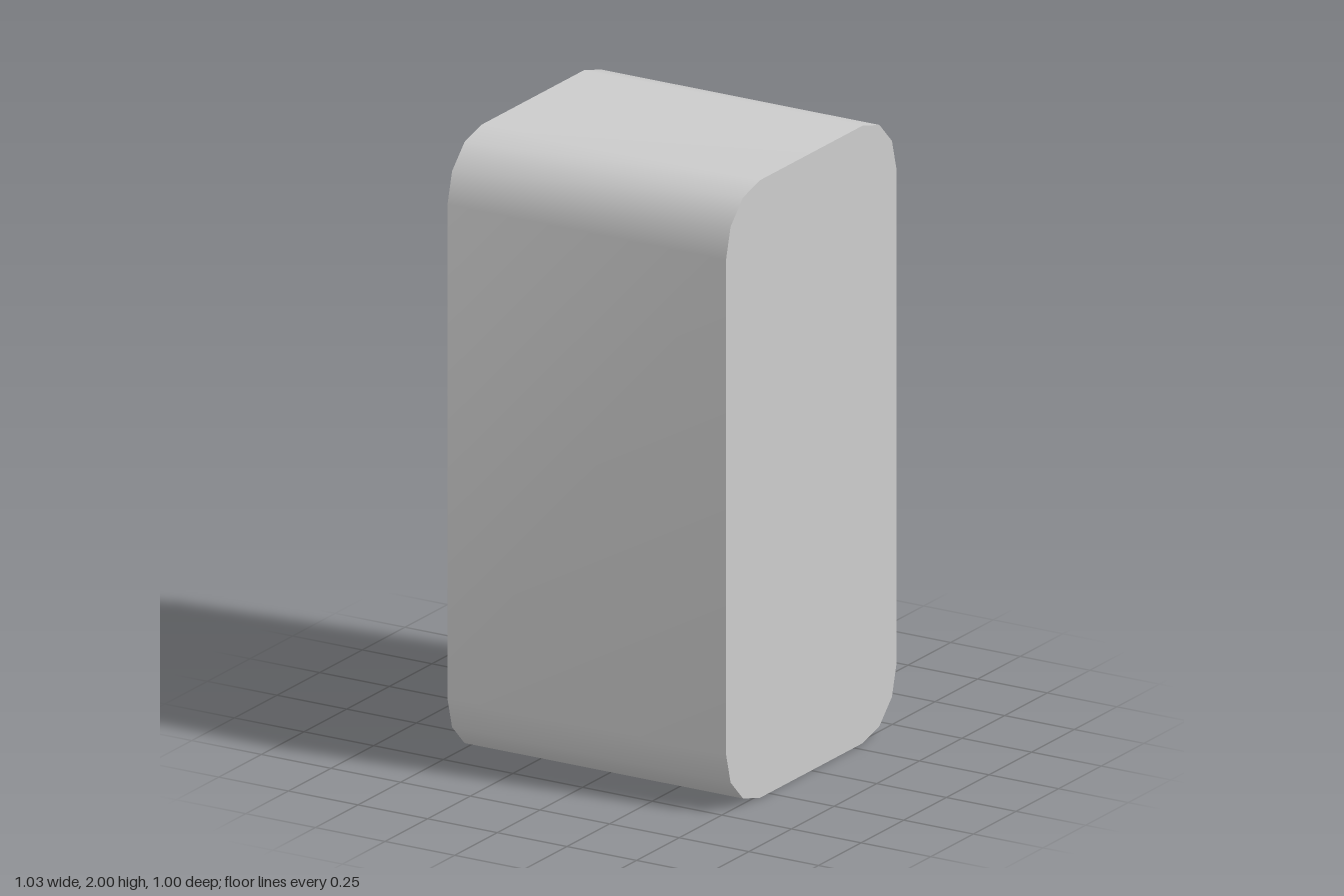
import * as THREE from 'three';
import { toCreasedNormals } from 'three/addons/utils/BufferGeometryUtils.js';

const material = new THREE.MeshStandardMaterial({ color: 0xcccccc });

// Counter-clockwise outline of a rounded rectangle, three facets per corner
function roundedOutline(halfW, halfH, radius, segments = 3) {
  const points = [];
  const corners = [[1, 1], [-1, 1], [-1, -1], [1, -1]];
  corners.forEach(([sx, sy], c) => {
    for (let i = 0; i <= segments; i++) {
      const a = (c + i / segments) * Math.PI / 2;
      points.push(new THREE.Vector2(
        sx * (halfW - radius) + radius * Math.cos(a),
        sy * (halfH - radius) + radius * Math.sin(a)));
    }
  });
  return points;
}

// Domed pad facing -x, lofted through shrinking rounded squares
function padGeometry() {
  // [height, half size, corner radius]
  const rings = [[0, 0.3, 0.1], [0.02, 0.26, 0.08], [0.03, 0.22, 0.06]];
  const positions = [];
  const index = [];
  for (const [h, half, r] of rings) {
    for (const p of roundedOutline(half, half, r)) positions.push(-h, p.y, p.x);
  }
  const n = positions.length / 3 / rings.length;
  const top = (rings.length - 1) * n;
  const center = rings.length * n;
  positions.push(-0.03, 0, 0);
  for (let j = 0; j < n; j++) {
    const k = (j + 1) % n;
    for (let i = 0; i < top; i += n) {
      index.push(i + j, i + k, i + n + k, i + j, i + n + k, i + n + j);
    }
    index.push(center, top + j, top + k);
  }
  const geometry = new THREE.BufferGeometry();
  geometry.setAttribute('position', new THREE.Float32BufferAttribute(positions, 3));
  geometry.setIndex(index);
  geometry.computeVertexNormals();
  return geometry;
}

export function createModel() {
  const model = new THREE.Group();
  model.name = 'roundedBlock';

  // Main block: rounded side profile extruded across x
  const profile = new THREE.Shape(roundedOutline(0.5, 1, 0.2));
  const block = new THREE.ExtrudeGeometry(profile, { depth: 1, bevelEnabled: false });
  block.rotateY(Math.PI / 2);
  const body = new THREE.Mesh(toCreasedNormals(block, THREE.MathUtils.degToRad(40)), material);
  body.name = 'body';
  body.position.set(-0.485, 1, 0);
  model.add(body);

  // Two raised pads on the -x face
  const pad = padGeometry();
  [['lowerPad', 0.5], ['upperPad', 1.5]].forEach(([name, y]) => {
    const mesh = new THREE.Mesh(pad, material);
    mesh.name = name;
    mesh.position.set(-0.485, y, 0);
    model.add(mesh);
  });

  return model;
}
